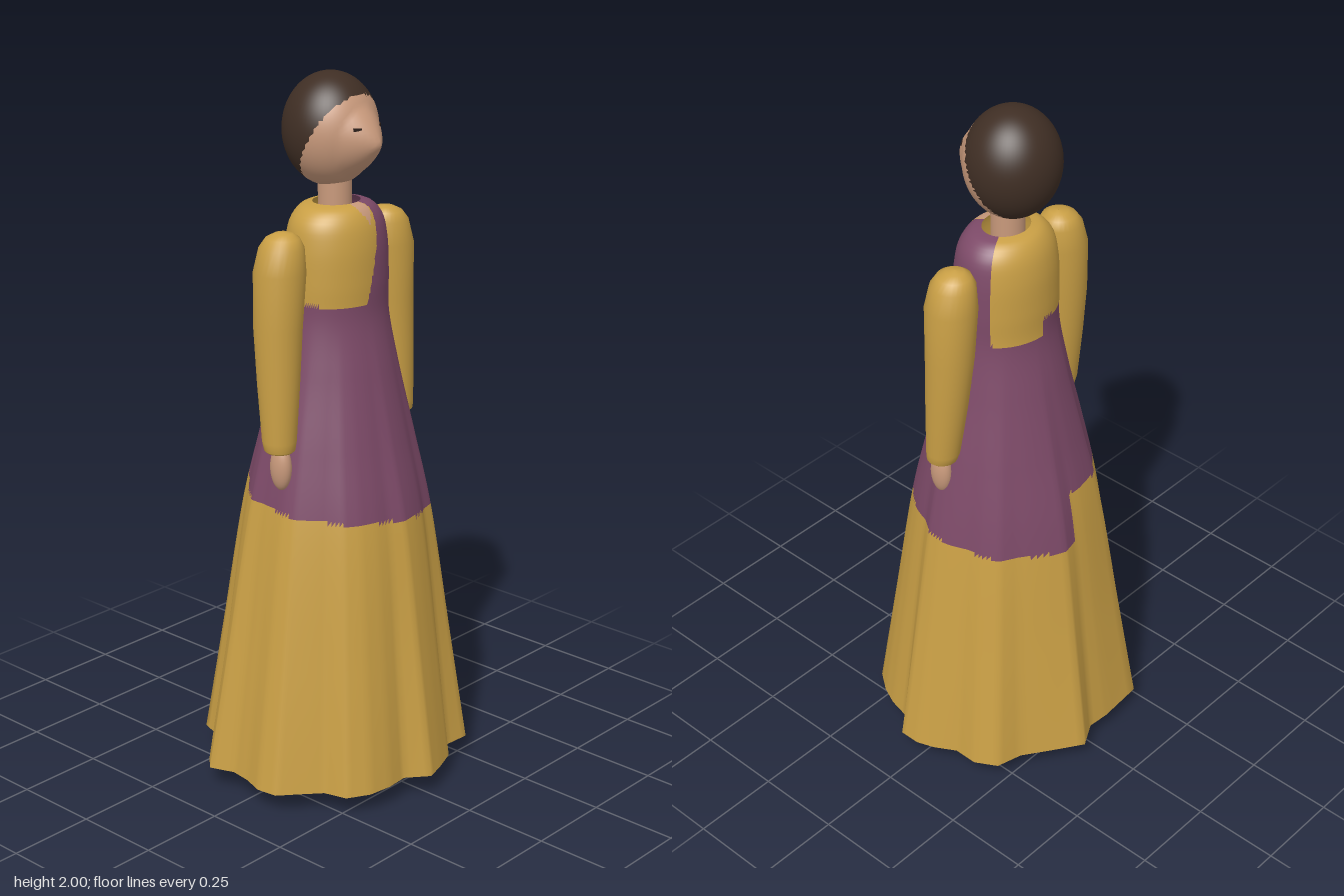
import * as THREE from 'three';

const mat = (name, color, side = THREE.FrontSide) => {
  const m = new THREE.MeshStandardMaterial({ color, side });
  m.name = name;
  return m;
};

// Closed skin over rings of points, listed top to bottom, each turning from +z towards +x
function loft(rings) {
  const n = rings[0].length, pos = [], idx = [];
  rings.forEach(r => r.forEach(p => pos.push(...p)));
  for (let j = 0; j < rings.length - 1; j++) {
    for (let i = 0; i < n; i++) {
      const a = j * n + i, b = j * n + (i + 1) % n;
      idx.push(a, a + n, b, b, a + n, b + n);
    }
  }
  const g = new THREE.BufferGeometry();
  g.setAttribute('position', new THREE.Float32BufferAttribute(pos, 3));
  g.setIndex(idx);
  g.computeVertexNormals();
  return g;
}

// Sorts the faces into material groups by a rule on the face centre
function paint(g, count, rule) {
  const lists = Array.from({ length: count }, () => []);
  const p = g.attributes.position, ix = g.index.array;
  for (let k = 0; k < ix.length; k += 3) {
    const f = [ix[k], ix[k + 1], ix[k + 2]];
    const mean = get => (get(f[0]) + get(f[1]) + get(f[2])) / 3;
    lists[rule(mean(i => p.getX(i)), mean(i => p.getY(i)), mean(i => p.getZ(i)))].push(...f);
  }
  g.setIndex(lists.flat());
  let start = 0;
  lists.forEach((l, i) => { g.addGroup(start, l.length, i); start += l.length; });
  return g;
}

const ellipseRadius = (a, rx, rz) => 1 / Math.hypot(Math.sin(a) / rx, Math.cos(a) / rz);

// Wavy outline of the skirt hem, x and z
const HEM = [
  [-.21, -.325], [-.07, -.335], [-.005, -.33], [.065, -.368], [.145, -.315], [.225, -.26], [.30, -.24],
  [.335, -.18], [.335, -.11], [.37, -.05], [.388, 0], [.388, .06], [.33, .105], [.315, .17], [.29, .225],
  [.25, .28], [.17, .275], [.125, .32], [.06, .345], [-.005, .365], [-.065, .315], [-.13, .32],
  [-.20, .31], [-.262, .275], [-.28, .21], [-.33, .165], [-.382, .12], [-.39, .06], [-.37, 0],
  [-.362, -.06], [-.388, -.13], [-.345, -.175], [-.29, -.215], [-.235, -.25],
];

// Dress half widths: rx, y, rz
const DRESS = [
  [.07, 1.655, .06], [.105, 1.645, .09], [.137, 1.61, .113], [.15, 1.55, .126], [.155, 1.45, .13],
  [.156, 1.35, .13], [.18, 1.2, .16], [.225, 1, .205], [.265, .8, .25], [.325, .4, .305], [.375, .06, .35],
];

function dressGeometry() {
  const cols = [];
  HEM.forEach((p, i) => {
    const q = HEM[(i + 1) % HEM.length];
    for (let k = 0; k < 4; k++) {
      const x = p[0] + (q[0] - p[0]) * k / 4, z = p[1] + (q[1] - p[1]) * k / 4;
      cols.push({ a: Math.atan2(x, z), r: Math.hypot(x, z) });
    }
  });
  cols.sort((u, v) => u.a - v.a);
  const profile = new THREE.CatmullRomCurve3(DRESS.map(p => new THREE.Vector3(...p))).getSpacedPoints(110);
  const end = profile[profile.length - 1];
  // Folds fade in from the waist to the hem
  return loft(profile.map(p => cols.map(({ a, r }) => {
    const t = THREE.MathUtils.clamp((1.35 - p.y) / 1.29, 0, 1);
    const s = ellipseRadius(a, p.x, p.z) * (1 + t * (r / ellipseRadius(a, end.x, end.z) - 1));
    return [Math.sin(a) * s, p.y, Math.cos(a) * s];
  })));
}

// 0 gold, 1 plum, 2 bare neckline
function dressColour(x, y, z) {
  const a = THREE.MathUtils.radToDeg(Math.atan2(x, z));
  if (y > 1.605 + Math.abs(a - 4) * 0.003) return 2;
  if (y < 0.8 - 0.04 * a / 90) return 0;
  if (y < 1.385 - 0.015 * a / 90) return 1;
  const sashEdge = -8 + (y - 1.39) * 110;
  return a > sashEdge && a < 116 ? 1 : 0;
}

// Head as an ellipsoid drawn out to a pointed nose
function headGeometry() {
  const rings = [];
  for (let j = 0; j <= 44; j++) {
    const v = Math.PI * j / 44, ring = [];
    for (let i = 0; i < 64; i++) {
      const a = Math.PI * 2 * i / 64;
      const x = Math.sin(v) * Math.sin(a), y = Math.cos(v), z = Math.sin(v) * Math.cos(a);
      const nose = z > 0 ? 0.05 * Math.max(0, 1 - Math.hypot(x, y + 0.15) / 0.62) : 0;
      ring.push([x * 0.13 - 0.004, y * 0.153 + 1.847, z * 0.13 - 0.018 + nose]);
    }
    rings.push(ring);
  }
  return loft(rings);
}

// Sleeve sections: y, x, z, radius
const SLEEVE = [
  [1.605, .2, 0, .001], [1.602, .202, 0, .025], [1.59, .205, 0, .046], [1.565, .209, 0, .061],
  [1.5, .217, 0, .071], [1.35, .225, 0, .066], [1.2, .232, .007, .058], [1.04, .24, .016, .047],
  [1.015, .242, .019, .042], [1.01, .243, .02, .036], [1.01, .243, .02, .001],
];

function sleeveGeometry(side) {
  return loft(SLEEVE.map(([y, x, z, r]) => Array.from({ length: 28 }, (_, i) => {
    const a = Math.PI * 2 * i / 28;
    return [side * x - 0.005 + Math.sin(a) * r, y, z + Math.cos(a) * r];
  })));
}

export function createModel() {
  const group = new THREE.Group();
  group.name = 'robedFigure';
  const gold = mat('gold cloth', 0xc99f45, THREE.DoubleSide);
  const plum = mat('plum cloth', 0x7d4a68, THREE.DoubleSide);
  const skin = mat('skin', 0xc8997b, THREE.DoubleSide);
  const hair = mat('hair', 0x3f2e24);
  const dark = mat('eye dark', 0x2a1d18);

  const add = (name, geo, material, x = 0, y = 0, z = 0) => {
    const m = new THREE.Mesh(geo, material);
    m.name = name;
    m.position.set(x, y, z);
    group.add(m);
    return m;
  };
  const ellipsoid = (rx, ry, rz) => new THREE.SphereGeometry(1, 28, 18).scale(rx, ry, rz);

  add('dress', paint(dressGeometry(), 3, dressColour), [gold, plum, skin]);

  // Hair covers everything behind a sloping hairline
  add('head', paint(headGeometry(), 2, (x, y, z) => z < 0.092 - (1.97 - y) * 0.57 ? 1 : 0), [skin, hair]);
  add('neck', new THREE.CylinderGeometry(0.046, 0.046, 0.16, 28), skin, -0.004, 1.66, -0.002);

  for (const side of [1, -1]) {
    const label = side > 0 ? 'left' : 'right';
    const eye = add(label + 'Eye', new THREE.BoxGeometry(0.022, 0.008, 0.006), dark, side * 0.043 - 0.004, 1.867, 0.116);
    eye.rotation.y = side * 0.6;
    add(label + 'Sleeve', sleeveGeometry(side), gold);
    add(label + 'Hand', ellipsoid(0.025, 0.065, 0.033), skin, side * 0.242 - 0.005, 0.965, 0.023);
    add(label + 'Leg', new THREE.CylinderGeometry(0.06, 0.042, 0.8, 24), skin, side * 0.097 - 0.007, 0.44, 0);
    add(label + 'Foot', ellipsoid(0.049, 0.036, 0.108), skin, side * 0.097 - 0.007, 0.036, 0.034);
  }
  return group;
}
